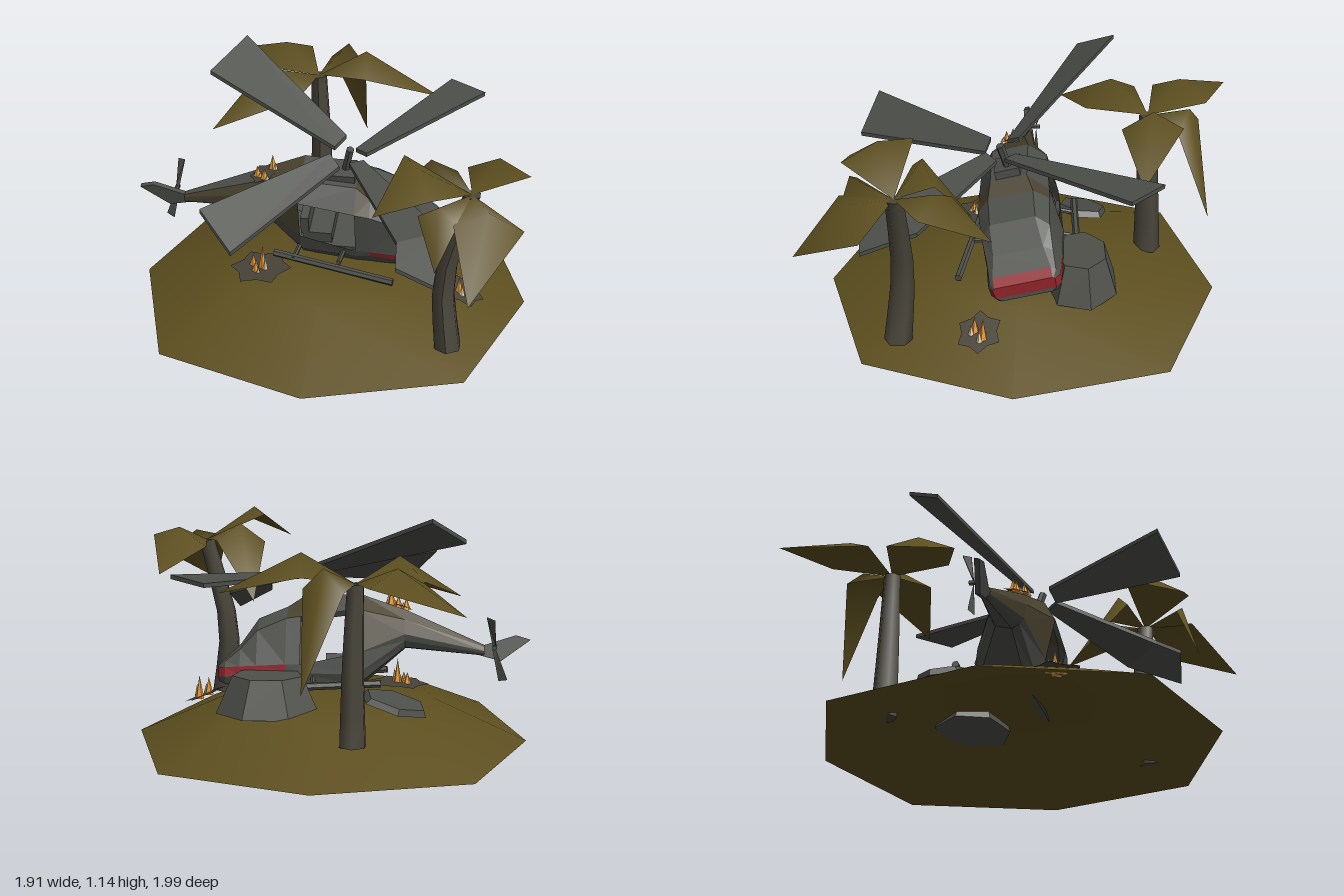
import * as THREE from 'three';

const V = (x, y, z) => new THREE.Vector3(x, y, z);
const paint = (name, color, extra = {}) => {
  const m = new THREE.MeshStandardMaterial({ color, side: THREE.DoubleSide, ...extra });
  m.name = name;
  return m;
};

export function createModel() {
  const root = new THREE.Group();
  const flat = { flatShading: true };
  const sand = paint('sand', 0x5d4f1f), leafMat = paint('leaf', 0x5d4f20);
  const grey = paint('hull grey', 0x4d4f4a, flat), camo = paint('camouflage brown', 0x49422f, flat);
  const red = paint('stripe red', 0x93242a, flat), bark = paint('bark', 0x49453a);
  const stone = paint('stone', 0x4f504a, flat), scorch = paint('scorch', 0x474338);
  const orange = paint('flame orange', 0xf2a03a, flat), cream = paint('flame core', 0xffe6b4, flat);

  const add = (name, geo, mat, parent = root) => {
    const m = new THREE.Mesh(geo, mat);
    m.name = name;
    parent.add(m);
    return m;
  };
  const surface = (pts, index) => {
    const g = new THREE.BufferGeometry().setFromPoints(pts);
    if (index) g.setIndex(index);
    g.computeVertexNormals();
    return g;
  };
  const rod = (name, a, b, r) => {
    const m = add(name, new THREE.CylinderGeometry(r, r, a.distanceTo(b), 6), grey);
    m.position.copy(a).add(b).multiplyScalar(0.5);
    m.quaternion.setFromUnitVectors(V(0, 1, 0), b.clone().sub(a).normalize());
  };
  // four-cornered plate with thickness
  const slab = (name, c, t) => {
    const pts = [...c, ...c.map(p => p.clone().sub(V(0, t, 0)))];
    const idx = [0, 1, 2, 0, 2, 3, 4, 6, 5, 4, 7, 6];
    for (let i = 0; i < 4; i++) {
      const j = (i + 1) % 4;
      idx.push(i, i + 4, j, j, i + 4, j + 4);
    }
    add(name, surface(pts, idx), grey);
  };

  // Island: octagonal open dome
  const ground = (x, z) => {
    const r = Math.hypot(x, z);
    return r < 0.53 ? 0.235 - 0.035 * r / 0.53 : 0.2 * (1 - r) / 0.47;
  };
  const island = [V(0, 0.235, 0)], islandIdx = [];
  [[0.25, 0.225], [0.53, 0.2], [1, 0]].forEach(([r, y], k) => {
    for (let i = 0; i < 8; i++) {
      const a = i * Math.PI / 4, s = r * (i % 2 ? 1.01 : 0.95);
      island.push(V(Math.cos(a) * s, y, Math.sin(a) * s));
      const j = (i + 1) % 8, o = 1 + k * 8, q = o - 8;
      if (k === 0) islandIdx.push(0, o + j, o + i);
      else islandIdx.push(q + i, q + j, o + i, q + j, o + j, o + i);
    }
  });
  add('island', surface(island, islandIdx), sand);

  // Helicopter, rolled towards +z
  const heli = new THREE.Group();
  heli.name = 'helicopter';
  heli.position.y = 0.45;
  heli.rotation.x = 0.26;
  root.add(heli);

  // Hull stations: x, five heights, five half widths
  const stations = [
    [-0.74, [-0.03, -0.02, -0.01, 0.01, 0.02], [0.01, 0.02, 0.024, 0.02, 0.012]],
    [-0.36, [0.0, 0.03, 0.06, 0.13, 0.18], [0.04, 0.07, 0.085, 0.08, 0.045]],
    [-0.14, [-0.19, -0.14, -0.04, 0.17, 0.25], [0.12, 0.155, 0.17, 0.165, 0.09]],
    [0.13, [-0.2, -0.14, -0.1, 0.13, 0.23], [0.15, 0.18, 0.185, 0.175, 0.09]],
    [0.2, [-0.2, -0.13, -0.1, 0.12, 0.18], [0.15, 0.18, 0.185, 0.175, 0.11]],
    [0.34, [-0.2, -0.145, -0.11, 0.06, 0.12], [0.15, 0.18, 0.185, 0.165, 0.11]],
    [0.42, [-0.2, -0.155, -0.115, -0.03, 0], [0.15, 0.175, 0.18, 0.16, 0.12]],
    [0.49, [-0.2, -0.165, -0.12, -0.09, -0.075], [0.145, 0.17, 0.172, 0.16, 0.14]],
    [0.525, [-0.185, -0.165, -0.12, -0.115, -0.11], [0.12, 0.145, 0.15, 0.145, 0.14]],
  ];
  const nose = stations.length - 1;
  const at = (s, k, side) => V(stations[s][0], stations[s][1][k], side * stations[s][2][k]);
  const hull = new Map([[grey, []], [camo, []], [red, []]]);
  const quad = (mat, a, b, c, d) => hull.get(mat).push(a, b, c, a, c, d);
  for (let s = 0; s < nose; s++) {
    for (let k = 0; k < 4; k++) {
      if (s === 2 && k === 2) continue; // open doorway on both sides
      let mat = grey;
      if (k === 1 && s >= 4) mat = red;
      else if ((s <= 1 && k >= 2) || (s === 3 && k === 3)) mat = camo;
      quad(mat, at(s, k, 1), at(s + 1, k, 1), at(s + 1, k + 1, 1), at(s, k + 1, 1));
      quad(mat, at(s, k, -1), at(s, k + 1, -1), at(s + 1, k + 1, -1), at(s + 1, k, -1));
    }
    const roof = s === nose - 1 ? red : s === 1 || s === 3 ? camo : grey;
    quad(roof, at(s, 4, 1), at(s + 1, 4, 1), at(s + 1, 4, -1), at(s, 4, -1));
    quad(grey, at(s, 0, -1), at(s + 1, 0, -1), at(s + 1, 0, 1), at(s, 0, 1));
  }
  for (let k = 0; k < 4; k++)
    quad(k ? red : grey, at(nose, k, 1), at(nose, k, -1), at(nose, k + 1, -1), at(nose, k + 1, 1));
  hull.forEach((pts, mat) => add(mat === red ? 'noseStripe' : mat === camo ? 'hullPatches' : 'hull', surface(pts), mat, heli));

  // Cabin floor, rear seat and engine housing
  const box = (name, w, h, d, x, y) => {
    add(name, new THREE.BoxGeometry(w, h, d), grey, heli).position.set(x, y, 0);
  };
  box('cabinFloor', 0.3, 0.02, 0.32, 0, -0.11);
  box('seat', 0.14, 0.06, 0.28, -0.06, -0.07);
  box('seatBack', 0.04, 0.1, 0.28, -0.12, 0.0);
  box('engineHousing', 0.14, 0.04, 0.12, 0.05, 0.25);

  // Tail fin
  const fin = new THREE.Shape([[-0.7, 0.03], [-0.74, 0.02], [-0.89, 0.07], [-0.96, 0.05], [-0.82, -0.055], [-0.7, -0.025]]
    .map(p => new THREE.Vector2(...p)));
  const finGeo = new THREE.ExtrudeGeometry(fin, { depth: 0.024, bevelEnabled: false });
  finGeo.translate(0, 0, -0.012);
  add('tailFin', finGeo, grey, heli);

  // Tail rotor
  rod('tailRotorHub', V(-0.79, 0.47, 0), V(-0.79, 0.47, -0.06), 0.012);
  slab('tailBlade', [V(-0.795, 0.48, -0.04), V(-0.78, 0.48, -0.04), V(-0.75, 0.62, -0.06), V(-0.79, 0.61, -0.09)], 0.008);
  slab('tailBlade', [V(-0.795, 0.46, -0.04), V(-0.78, 0.46, -0.04), V(-0.81, 0.31, -0.03), V(-0.85, 0.32, -0.05)], 0.008);

  // Main rotor: mast and four blades, one with a bent tip
  rod('mast', V(0.065, 0.69, 0.06), V(0.095, 0.83, 0.1), 0.02);
  const bendA = V(0.57, 0.63, 0.45), bendB = V(0.38, 0.66, 0.62);
  [
    [V(0.04, 0.84, 0.04), V(-0.65, 1.02, -0.25), V(-0.5, 1.14, -0.43)],
    [V(0.14, 0.8, 0.05), V(0.5, 0.87, -0.66), V(0.68, 0.88, -0.51)],
    [V(0.03, 0.8, 0.16), V(-0.48, 0.82, 0.74), V(-0.33, 0.66, 0.82)],
    [V(0.13, 0.79, 0.14), bendA, bendB],
  ].forEach(([r, a, b]) => {
    const e = b.clone().sub(a).multiplyScalar(0.16);
    slab('rotorBlade', [r.clone().sub(e), a, b, r.clone().add(e)], 0.02);
  });
  slab('bentBladeTip', [bendA, V(0.56, 0.51, 0.72), V(0.39, 0.6, 0.74), bendB], 0.02);

  // Landing skids and struts, knocked out of line
  rod('skid', V(-0.26, 0.29, 0.2), V(0.33, 0.235, 0.29), 0.018);
  rod('skid', V(-0.26, 0.33, -0.25), V(0.1, 0.31, -0.27), 0.018);
  [-0.16, 0.06].forEach(x => {
    rod('skidStrut', V(x, 0.28, 0.23), V(x + 0.02, 0.3, 0.06), 0.012);
    rod('skidStrut', V(x, 0.32, -0.255), V(x + 0.02, 0.36, -0.1), 0.012);
  });

  // Boulder and a torn-off door panel
  const boulder = add('boulder', new THREE.CylinderGeometry(0.17, 0.25, 0.18, 7), stone);
  boulder.scale.z = 0.75;
  boulder.position.set(0.27, 0.28, -0.29);
  boulder.rotation.y = 0.06;
  const panel = add('tornPanel', new THREE.CylinderGeometry(0.15, 0.17, 0.03, 6), grey);
  panel.scale.z = 0.75;
  panel.position.set(-0.33, 0.25, -0.29);
  panel.rotation.set(-0.15, 0.2, 0.3);

  // Palms: trunk bent along a path, then folded leaves
  const palm = (path, leaves) => {
    const g = new THREE.Group();
    g.name = 'palm';
    root.add(g);
    const curve = new THREE.CatmullRomCurve3(path);
    const geo = new THREE.CylinderGeometry(0.042, 0.066, 1, 6, 5);
    const p = geo.attributes.position;
    for (let i = 0; i < p.count; i++) {
      const c = curve.getPoint(p.getY(i) + 0.5);
      p.setXYZ(i, p.getX(i) + c.x, c.y, p.getZ(i) + c.z);
    }
    geo.computeVertexNormals();
    add('trunk', geo, bark, g);
    const crown = path[path.length - 1];
    leaves.forEach(([l, r, tip, ridgeY]) => {
      const ridge = l.clone().add(r).multiplyScalar(0.5).setY(ridgeY);
      add('leaf', surface([crown, l, ridge, r, tip], [0, 2, 1, 0, 3, 2, 1, 2, 4, 2, 3, 4]), leafMat, g);
    });
  };
  palm([V(-0.16, 0.13, -0.62), V(-0.16, 0.5, -0.61), V(-0.17, 0.87, -0.6)], [
    [V(-0.25, 0.9, -0.88), V(-0.48, 0.88, -0.63), V(-0.67, 0.81, -1), 0.97],
    [V(0.05, 0.87, -0.74), V(-0.14, 0.87, -0.84), V(0.04, 0.43, -0.9), 0.97],
    [V(0.08, 0.92, -0.47), V(0.06, 0.92, -0.76), V(0.45, 0.81, -0.57), 1.01],
    [V(-0.48, 0.87, -0.54), V(-0.23, 0.87, -0.3), V(-0.63, 0.74, -0.17), 0.97],
  ]);
  palm([V(0.62, 0.08, 0.55), V(0.59, 0.42, 0.52), V(0.7, 0.88, 0.53)], [
    [V(0.95, 0.92, 0.4), V(0.66, 0.88, 0.28), V(0.86, 0.77, 0.09), 0.97],
    [V(0.62, 0.9, 0.36), V(0.39, 0.88, 0.48), V(0.41, 0.62, 0.21), 0.98],
    [V(0.39, 1.02, 0.47), V(0.54, 0.97, 0.78), V(0.29, 0.87, 0.78), 1.04],
    [V(0.48, 0.86, 0.72), V(0.66, 0.86, 0.76), V(0.57, 0.64, 0.82), 0.92],
    [V(0.64, 0.86, 0.78), V(0.94, 0.79, 0.66), V(0.73, 0.59, 0.99), 0.9],
  ]);

  // Fires: jagged scorch mark with flame cones
  const fire = (x, z, radius, height, flames) => {
    const g = new THREE.Group();
    g.name = 'fire';
    root.add(g);
    const n = 12, pts = [V(x, height(x, z) + 0.012, z)], idx = [];
    for (let i = 0; i < n; i++) {
      const a = i * 2 * Math.PI / n, r = radius * (i % 2 ? 0.75 : 1);
      const px = x + r * Math.cos(a), pz = z + r * Math.sin(a);
      pts.push(V(px, height(px, pz) + 0.012, pz));
      idx.push(0, 1 + (i + 1) % n, 1 + i);
    }
    add('scorchMark', surface(pts, idx), scorch, g);
    flames.forEach(([dx, dz, h]) => {
      const y = height(x + dx, z + dz);
      [[orange, 0.022, h, 0], [cream, 0.015, h * 0.6, 0.016]].forEach(([mat, r, len, off]) => {
        const f = add('flame', new THREE.ConeGeometry(r, len, 5), mat, g);
        f.position.set(x + dx + off, y + len / 2, z + dz + off);
      });
    });
  };
  fire(-0.32, 0.23, 0.15, ground, [[0.01, 0, 0.13], [-0.04, -0.02, 0.07], [-0.02, 0.03, 0.06]]);
  fire(0.65, 0.17, 0.11, ground, [[0.03, -0.02, 0.12], [-0.01, 0.02, 0.09]]);
  fire(-0.33, 0.06, 0.07, (x, z) => 0.635 + (x + 0.33) * 0.31 - (z - 0.05) * 0.266,
    [[-0.03, 0, 0.06], [0.04, -0.03, 0.08], [0.01, 0.03, 0.06]]);

  return root;
}
